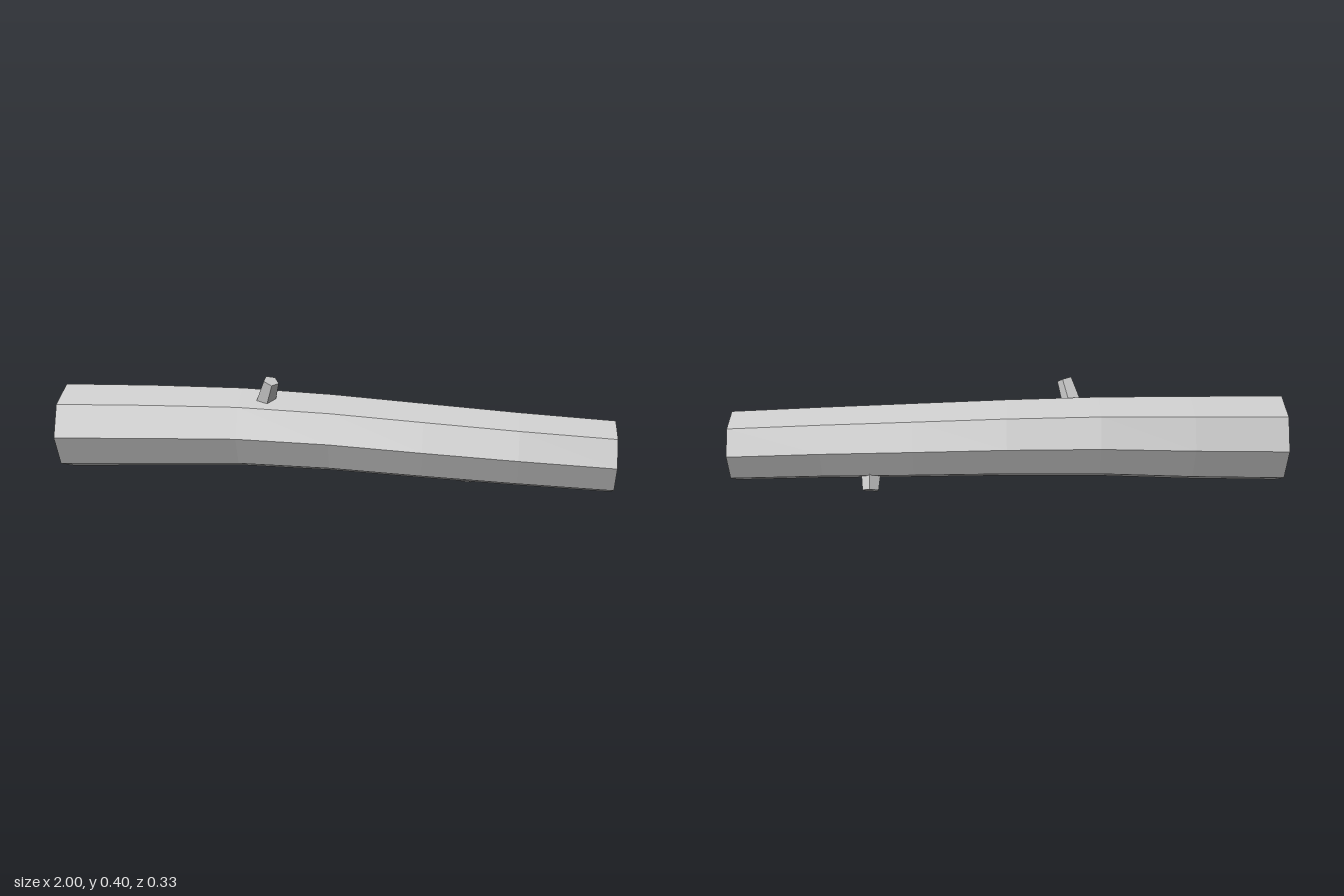
import * as THREE from 'three';

const material = new THREE.MeshStandardMaterial({ color: 0xcccccc, flatShading: true });

// Trunk rings, evenly spaced from x = -1 to x = 1: [centre y, centre z, radius]
const RINGS = [
  [0.183, 0.003, 0.161],
  [0.190, -0.011, 0.157],
  [0.197, -0.016, 0.150],
  [0.191, -0.009, 0.145],
  [0.178, 0.006, 0.141],
  [0.166, 0.020, 0.136],
  [0.154, 0.024, 0.132],
];

// Eight-sided cylinder laid along x, bent and tapered ring by ring
function trunkGeometry() {
  const steps = RINGS.length - 1;
  const geometry = new THREE.CylinderGeometry(1, 1, 2, 8, steps).rotateZ(-Math.PI / 2);
  const p = geometry.attributes.position;
  for (let i = 0; i < p.count; i++) {
    const [cy, cz, r] = RINGS[Math.round((p.getX(i) + 1) / 2 * steps)];
    p.setY(i, cy + p.getY(i) * r);
    p.setZ(i, cz + p.getZ(i) * r);
  }
  geometry.computeVertexNormals();
  return geometry;
}

// Five-sided tapered twig running from a base inside the trunk to its cut tip
function twig(name, base, tip, baseRadius, tipRadius, twist) {
  const a = new THREE.Vector3(...base);
  const b = new THREE.Vector3(...tip);
  const axis = b.clone().sub(a);
  const geometry = new THREE.CylinderGeometry(tipRadius, baseRadius, axis.length(), 5).rotateY(twist);
  const mesh = new THREE.Mesh(geometry, material);
  mesh.name = name;
  mesh.position.copy(a).add(b).multiplyScalar(0.5);
  mesh.quaternion.setFromUnitVectors(new THREE.Vector3(0, 1, 0), axis.normalize());
  return mesh;
}

export function createModel() {
  const log = new THREE.Group();
  log.name = 'log';

  const trunk = new THREE.Mesh(trunkGeometry(), material);
  trunk.name = 'trunk';

  log.add(
    trunk,
    twig('upperTwigStub', [-0.25, 0.29, 0.017], [-0.215, 0.396, 0.055], 0.039, 0.029, 0.3),
    twig('lowerTwigStub', [0.49, 0.10, -0.037], [0.492, 0.016, -0.081], 0.041, 0.031, 0),
  );
  return log;
}
